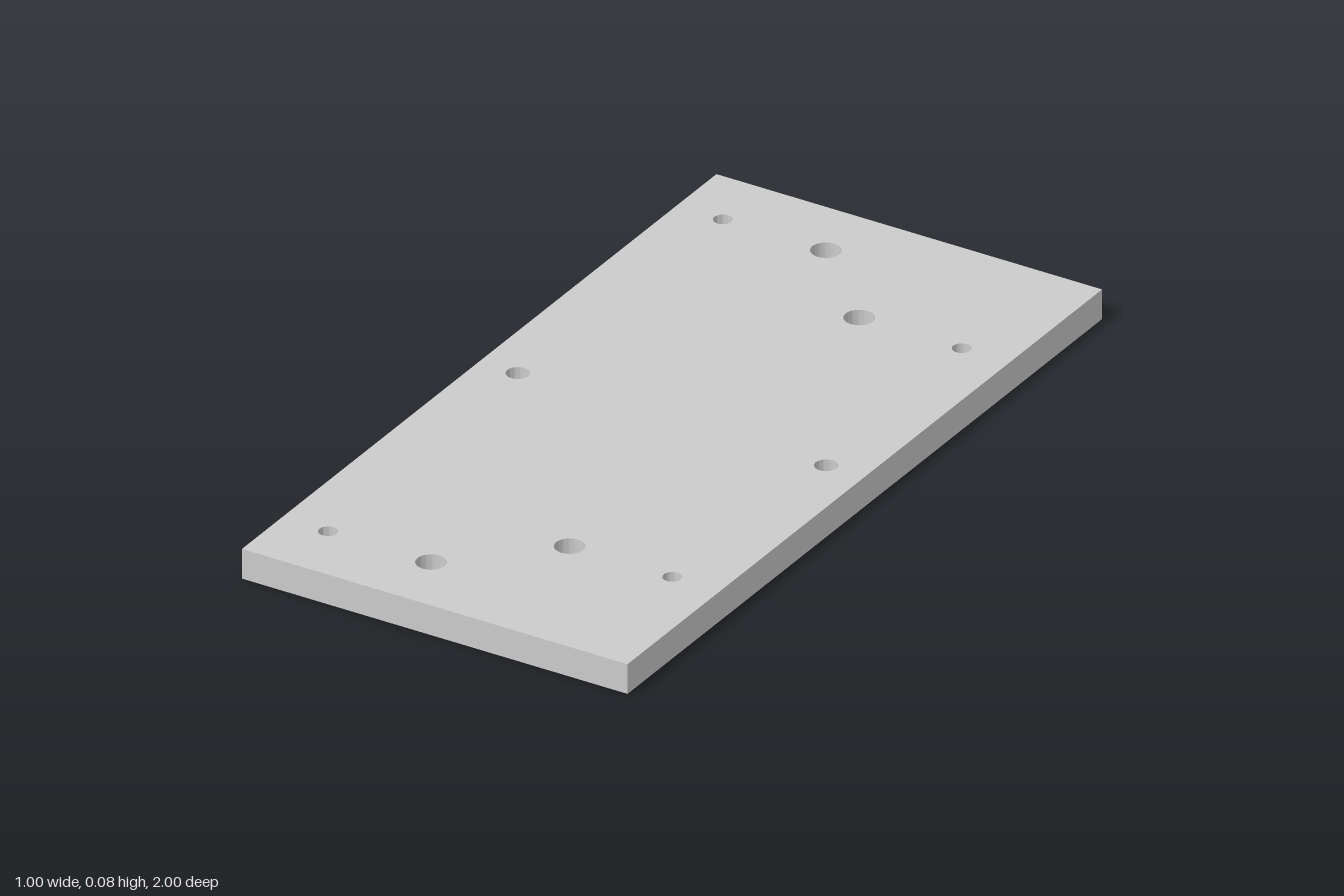
import * as THREE from 'three';
import { toCreasedNormals } from 'three/addons/utils/BufferGeometryUtils.js';

const WIDTH = 1, LENGTH = 2, THICKNESS = 0.075;

// Holes as [x, z, radius]; the end holes are mirrored front to back
const END_HOLES = [
  [-0.38, 0.832, 0.022],
  [-0.113, 0.832, 0.035],
  [0.11, 0.61, 0.035],
  [0.376, 0.61, 0.022],
];
const SIDE_HOLES = [[-0.4, 0, 0.027], [0.4, 0, 0.027]];

export function createModel() {
  const group = new THREE.Group();
  group.name = 'mountingPlate';

  // Rectangular outline
  const w = WIDTH / 2, l = LENGTH / 2;
  const outline = new THREE.Shape([
    new THREE.Vector2(-w, -l),
    new THREE.Vector2(w, -l),
    new THREE.Vector2(w, l),
    new THREE.Vector2(-w, l),
  ]);

  // Through holes
  const mirrored = END_HOLES.map(([x, z, r]) => [x, -z, r]);
  for (const [x, z, r] of [...END_HOLES, ...mirrored, ...SIDE_HOLES]) {
    const hole = new THREE.Path();
    hole.absarc(x, -z, r, 0, Math.PI * 2, true);
    outline.holes.push(hole);
  }

  // Extrude and lay flat on the ground plane
  const extruded = new THREE.ExtrudeGeometry(outline, {
    depth: THICKNESS, bevelEnabled: false, curveSegments: 32,
  });
  extruded.rotateX(-Math.PI / 2);

  const plate = new THREE.Mesh(
    toCreasedNormals(extruded, Math.PI / 6),
    new THREE.MeshStandardMaterial({ color: 0xcccccc }),
  );
  plate.name = 'drilledPlate';
  group.add(plate);
  return group;
}
